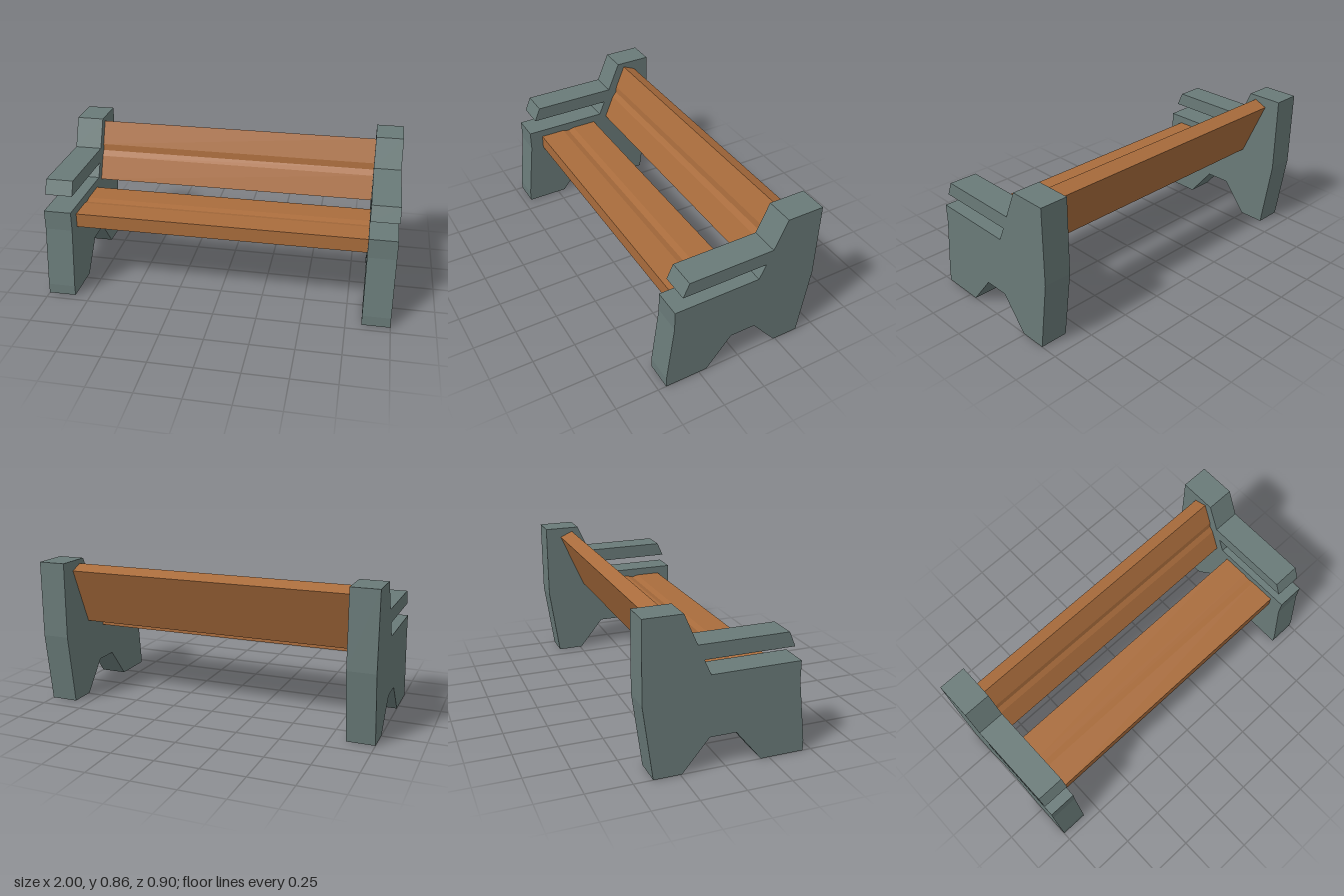
import * as THREE from 'three';

// Extrude a (z, y) outline along x, centred on x = 0
function extrudeAcross(points, width) {
  const shape = new THREE.Shape(points.map(([z, y]) => new THREE.Vector2(z, y)));
  const geometry = new THREE.ExtrudeGeometry(shape, { depth: width, bevelEnabled: false });
  geometry.translate(0, 0, -width / 2);
  geometry.rotateY(-Math.PI / 2);
  return geometry;
}

export function createModel() {
  const stone = new THREE.MeshStandardMaterial({ name: 'greyGreenStone', color: 0x697a78 });
  const wood = new THREE.MeshStandardMaterial({ name: 'warmWood', color: 0xa96c3c });
  const bench = new THREE.Group();
  bench.name = 'bench';

  const add = (name, geometry, material, x = 0) => {
    const mesh = new THREE.Mesh(geometry, material);
    mesh.name = name;
    mesh.position.x = x;
    bench.add(mesh);
    return mesh;
  };

  // End supports: legs, armrest and back post in one slab
  const endGeometry = extrudeAcross([
    [0.452, 0], [0.452, 0.06], [0.41, 0.41], [0.41, 0.523],
    [-0.092, 0.523], [-0.13, 0.607], [0.367, 0.607], [0.331, 0.689],
    [-0.166, 0.689], [-0.24, 0.856], [-0.452, 0.856], [-0.452, 0.413],
    [-0.395, 0], [-0.24, 0], [-0.092, 0.181], [0.056, 0.181], [0.203, 0],
  ], 0.16);
  add('leftEndSupport', endGeometry, stone, 0.92);
  add('rightEndSupport', endGeometry, stone, -0.92);

  // Planks: a board with a shallow V groove along the middle of its face
  const plank = (length) => {
    const h = length / 2, t = 0.083;
    return extrudeAcross([
      [-h, -t], [h, -t], [h, 0], [0.037, 0], [0, -0.01], [-0.037, 0], [-h, 0],
    ], 1.68);
  };

  const seat = add('seat', plank(0.374), wood);
  seat.position.set(0, 0.478, 0.142);

  // Backrest leans back, its grooved face turned to the front
  const back = add('backrest', plank(0.366), wood);
  back.position.set(0, 0.662, -0.208);
  back.rotation.x = Math.PI / 2 - Math.atan2(0.145, 0.335);

  return bench;
}
